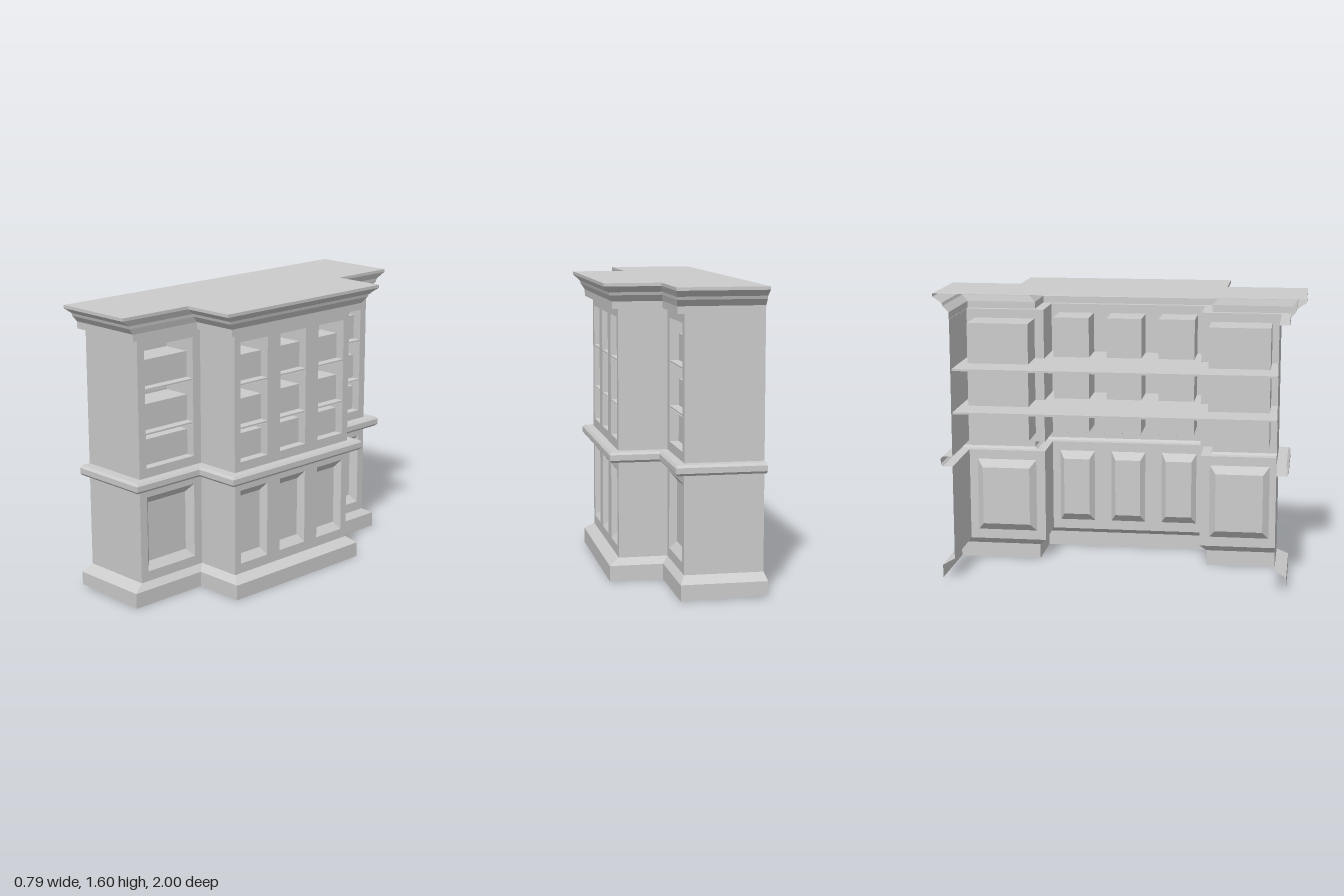
import * as THREE from 'three';

const grey = new THREE.MeshStandardMaterial({ color: 0xcccccc, flatShading: true, side: THREE.DoubleSide });
const WING_X = 0.03, CENTRE_X = 0.295;
// Heights where the skin meets plinth, waist and crown
const PLINTH = 0.12, WAIST_LOW = 0.647, WAIST_TOP = 0.703, CROWN = 1.462;
const V = (x, y, z) => new THREE.Vector3(x, y, z);

function addMesh(parent, geometry, name) {
  const mesh = new THREE.Mesh(geometry, grey);
  mesh.name = name;
  parent.add(mesh);
  return mesh;
}

// Plan of the breakfront at height y; the offsets widen each run of it separately.
function outline(y, { centre = 0, wing = centre, side = 0, left = side, right = side, back = -0.39 } = {}) {
  const w = WING_X + wing, c = CENTRE_X + centre;
  const zl = 0.86 + left, zr = -0.91 - right, cl = 0.42 + side, cr = -0.47 - side;
  return [V(back, y, zl), V(w, y, zl), V(w, y, cl), V(c, y, cl),
    V(c, y, cr), V(w, y, cr), V(w, y, zr), V(back, y, zr)];
}

// Quads between successive rows of points, listed from top to bottom.
function loft(rows, closed = false, cap = false) {
  const pos = [];
  const quad = (a, b, c, d) => [a, d, c, a, c, b].forEach(p => pos.push(p.x, p.y, p.z));
  for (let i = 0; i + 1 < rows.length; i++) {
    const n = rows[i].length;
    for (let j = 0; j < (closed ? n : n - 1); j++) {
      const k = (j + 1) % n;
      quad(rows[i][j], rows[i][k], rows[i + 1][k], rows[i + 1][j]);
    }
  }
  if (cap) quad(...rows[rows.length - 1]);
  const g = new THREE.BufferGeometry();
  g.setAttribute('position', new THREE.Float32BufferAttribute(pos, 3));
  g.computeVertexNormals();
  return g;
}

const planShape = pts => new THREE.Shape(pts.map(p => new THREE.Vector2(p.x, -p.z)));

// Rectangle corners in front-local space: top left, top right, bottom right, bottom left.
const rect = (u0, u1, v0, v1, w = 0) => [V(u0, v1, w), V(u1, v1, w), V(u1, v0, w), V(u0, v0, w)];
const flat = pts => pts.map(p => new THREE.Vector2(p.x, p.y));

// Niche with its back shrunk by side and end insets.
function recess(u0, u1, v0, v1, depth, side = 0, end = 0) {
  return loft([rect(u0, u1, v0, v1), rect(u0 + side, u1 - side, v0 + end, v1 - end, -depth)], true, true);
}

// Front wall with one recessed lower panel and three filled niches per bay.
function front(name, x, zLeft, zRight, bays, bevel) {
  const group = new THREE.Group();
  group.name = name;
  group.rotation.y = Math.PI / 2;
  group.position.x = x;
  const lower = new THREE.Shape(flat(rect(-zLeft, -zRight, PLINTH, WAIST_LOW)));
  const upper = new THREE.Shape(flat(rect(-zLeft, -zRight, WAIST_TOP, CROWN)));
  for (const [zl, zr] of bays) {
    lower.holes.push(new THREE.Path(flat(rect(-zl, -zr, 0.175, 0.594))));
    upper.holes.push(new THREE.Path(flat(rect(-zl, -zr, 0.754, 1.412))));
    addMesh(group, recess(-zl, -zr, 0.175, 0.594, 0.035, bevel, 0.043), 'lowerPanel');
    for (const [v0, v1] of [[0.754, 0.936], [0.947, 1.176], [1.187, 1.412]]) {
      addMesh(group, recess(-zl, -zr, v0, v1, 0.21), 'niche');
      // Row of contents standing on the shelf, set back from the opening
      const row = new THREE.BoxGeometry(zl - zr, 0.142, 0.158);
      addMesh(group, row, 'shelfContents').position.set(-(zl + zr) / 2, v0 + 0.071, -0.13);
    }
  }
  addMesh(group, new THREE.ShapeGeometry(lower), 'lowerFrontWall');
  addMesh(group, new THREE.ShapeGeometry(upper), 'upperFrontWall');
  return group;
}

export function createModel() {
  const model = new THREE.Group();
  model.name = 'breakfrontBookcase';

  // Panelled fronts
  model.add(front('leftWingFront', WING_X, 0.86, 0.42, [[0.812, 0.474]], 0.035));
  model.add(front('centreFront', CENTRE_X, 0.42, -0.47,
    [[0.377, 0.174], [0.077, -0.122], [-0.222, -0.425]], 0.026));
  model.add(front('rightWingFront', WING_X, -0.47, -0.91, [[-0.522, -0.863]], 0.035));

  // End walls and the returns beside the centre section
  for (const [low, high] of [[PLINTH, WAIST_LOW], [WAIST_TOP, CROWN]])
    [['leftEnd', 0], ['leftReturn', 2], ['rightReturn', 4], ['rightEnd', 6]].forEach(([name, i]) =>
      addMesh(model, loft([outline(high).slice(i, i + 2), outline(low).slice(i, i + 2)]), name));

  // Shelves following the stepped plan
  for (const y of [0.936, 1.176]) {
    const plan = planShape(outline(0, { centre: -0.004, side: -0.002, back: -0.37 }));
    const shelf = new THREE.ExtrudeGeometry(plan, { depth: 0.011, bevelEnabled: false });
    addMesh(model, shelf.rotateX(-Math.PI / 2), 'shelf').position.y = y;
  }

  // Plinth, its ends lifted slightly at the back
  const spread = { centre: 0.055, wing: 0.03, side: 0.038, left: 0.065, right: 0.065, back: -0.4 };
  const foot = outline(0, spread);
  foot[0].y = foot[7].y = 0.012;
  addMesh(model, loft([outline(PLINTH), outline(0.085, spread), foot]), 'plinth');

  // Waist moulding
  const waist = [[WAIST_TOP, 0], [WAIST_TOP, 0.046], [0.69, 0.057], [0.66, 0.057], [WAIST_LOW, 0.046], [WAIST_LOW, 0]];
  addMesh(model, loft(waist.map(([y, d]) => outline(y, { centre: d, side: d * 1.15 }))), 'waistMoulding');

  // Crown moulding: flare goes from 0 at its foot to 1 at the top edge
  const crown = [[1.6, 1], [1.583, 1], [1.55, 0.42], [1.534, 0.36], [1.5, 0], [CROWN, 0]]
    .map(([y, f]) => outline(y, {
      centre: 0.04 + f * 0.057, wing: 0.038 + f * 0.022,
      side: 0.055 + f * 0.082, left: 0.055 + f * 0.085, right: 0.002 + f * 0.088,
    }));
  addMesh(model, loft([...crown, outline(CROWN)]), 'crownMoulding');
  const lid = new THREE.ShapeGeometry(planShape(crown[0])).rotateX(-Math.PI / 2);
  addMesh(model, lid, 'topBoard').position.y = 1.6;

  return model;
}
